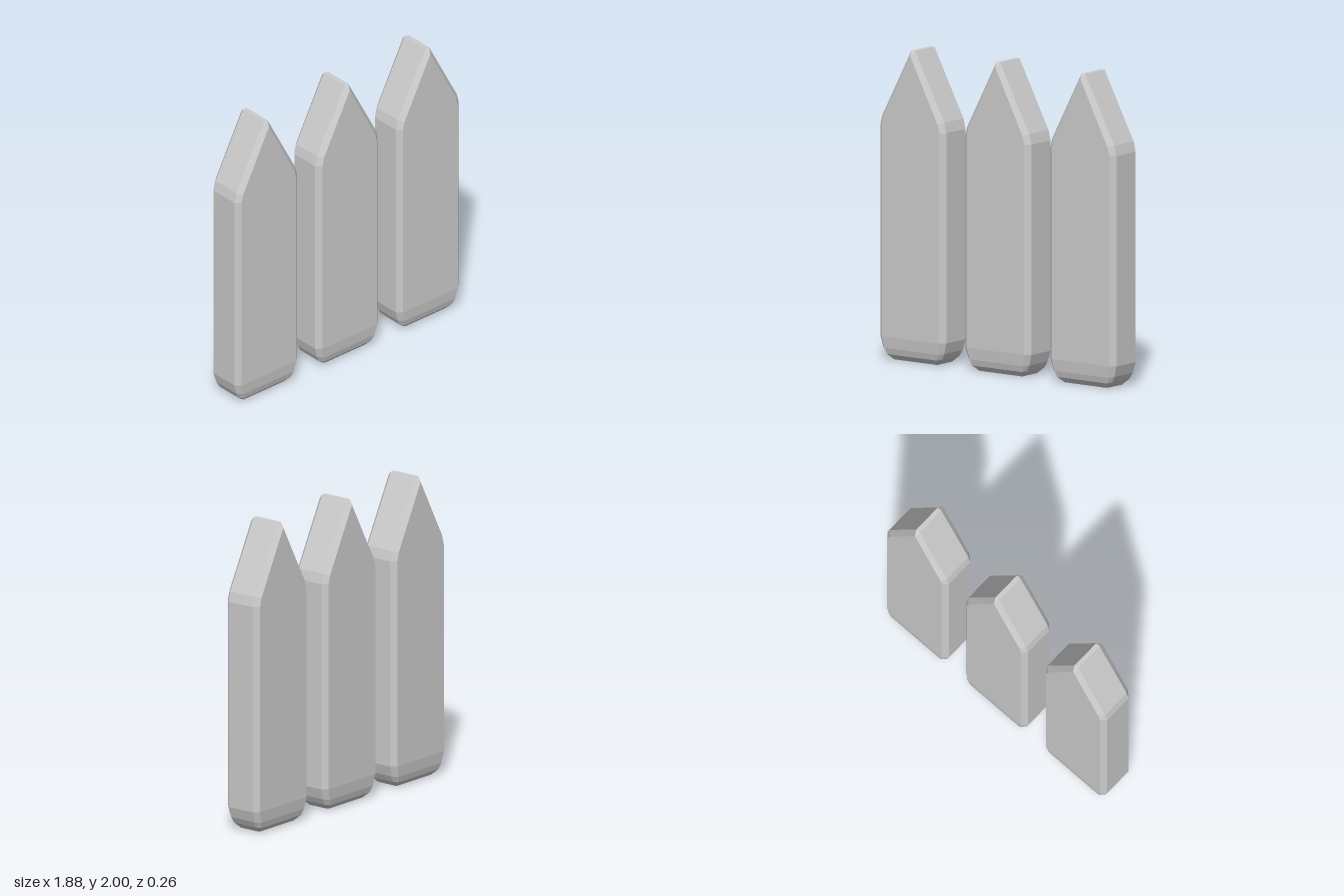
import * as THREE from 'three';

// Cross-section rows, bottom to tip:
// face edge [x, y, z] and side edge [x, y, z] of the chamfered board
const ROWS = [
  [0.165, 0, 0.08, 0.175, 0, 0.07],
  [0.198, 0.035, 0.113, 0.222, 0.04, 0.088],
  [0.212, 0.075, 0.124, 0.243, 0.08, 0.095],
  [0.23, 0.15, 0.132, 0.2625, 0.15, 0.1],
  [0.23, 1.5, 0.132, 0.2625, 1.5, 0.1],
  [0.216, 1.555, 0.132, 0.246, 1.565, 0.1],
  [0, 1.97, 0.132, 0.015, 2, 0.1],
];

function picketGeometry() {
  const pos = [], index = [];
  // Eight corners per row, counter-clockwise from above
  for (const [fx, fy, fz, sx, sy, sz] of ROWS) {
    pos.push(fx, fy, fz, sx, sy, sz, sx, sy, -sz, fx, fy, -fz);
    pos.push(-fx, fy, -fz, -sx, sy, -sz, -sx, sy, sz, -fx, fy, fz);
  }
  const quad = (a, b, c, d) => index.push(a, b, c, a, c, d);
  // Walls
  for (let j = 0; j < ROWS.length - 1; j++) {
    for (let i = 0; i < 8; i++) {
      const a = j * 8 + i, b = j * 8 + (i + 1) % 8;
      quad(a, b, b + 8, a + 8);
    }
  }
  // Flat foot and narrow ridge at the tip
  const t = (ROWS.length - 1) * 8;
  for (let i = 0; i < 3; i++) {
    quad(7 - i, 6 - i, i + 1, i);
    quad(t + i, t + i + 1, t + 6 - i, t + 7 - i);
  }
  const geometry = new THREE.BufferGeometry();
  geometry.setAttribute('position', new THREE.Float32BufferAttribute(pos, 3));
  geometry.setIndex(index);
  const flat = geometry.toNonIndexed();
  flat.computeVertexNormals();
  return flat;
}

export function createModel() {
  const group = new THREE.Group();
  group.name = 'fencePickets';
  const material = new THREE.MeshStandardMaterial({ color: 0xcccccc, flatShading: true });
  const geometry = picketGeometry();
  // Three identical pickets in a row
  ['rightPicket', 'middlePicket', 'leftPicket'].forEach((name, i) => {
    const picket = new THREE.Mesh(geometry, material);
    picket.name = name;
    picket.position.x = (i - 1) * 0.677;
    group.add(picket);
  });
  return group;
}
